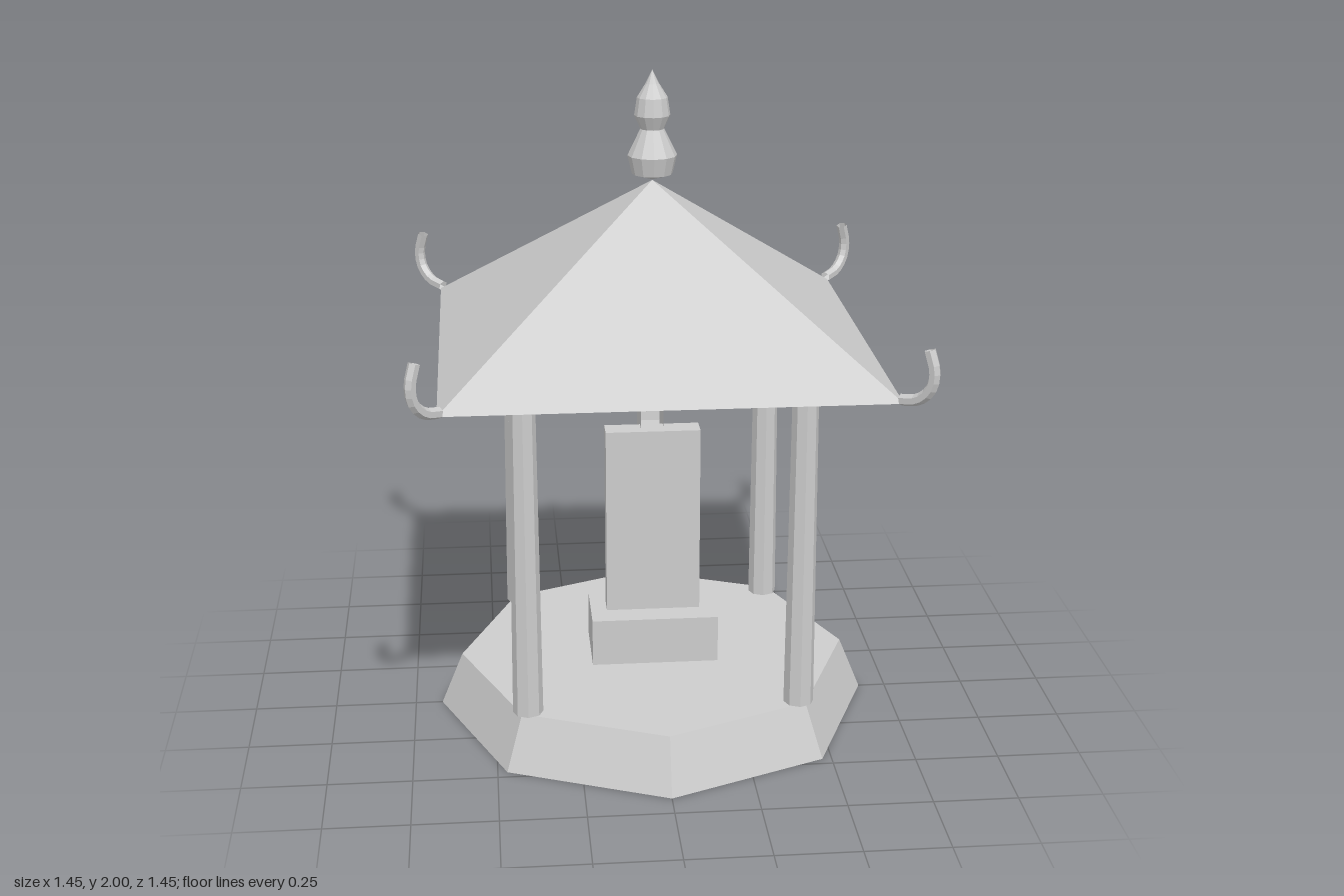
import * as THREE from 'three';

export function createModel() {
  const model = new THREE.Group();
  model.name = 'pavilion';
  const stone = new THREE.MeshStandardMaterial({
    color: 0xcccccc, flatShading: true, side: THREE.DoubleSide,
  });
  stone.name = 'pale stone';

  function add(name, geometry, x = 0, y = 0, z = 0) {
    const mesh = new THREE.Mesh(geometry, stone);
    mesh.name = name;
    mesh.position.set(x, y, z);
    model.add(mesh);
    return mesh;
  }

  // Octagonal platform with sloping sides
  add('platform', new THREE.CylinderGeometry(0.6, 0.667, 0.165, 8), 0, 0.0825, 0);

  // Upright tablet on its plinth
  add('plinth', new THREE.BoxGeometry(0.39, 0.148, 0.23), 0, 0.239, 0);
  add('tablet', new THREE.BoxGeometry(0.29, 0.59, 0.07), 0, 0.607, 0);

  // Half disc behind the tablet, open along its straight edge
  const disc = new THREE.CylinderGeometry(0.145, 0.145, 0.07, 16, 1, false, Math.PI / 2, Math.PI);
  disc.rotateY(Math.PI / 2).rotateZ(Math.PI / 2);
  // Turn the arc so that it bulges towards the back
  disc.computeBoundingBox();
  const box = disc.boundingBox;
  if (box.max.y - box.min.y < 0.2) disc.rotateX(Math.PI / 2);
  disc.computeBoundingBox();
  if (disc.boundingBox.max.z > 0.1) disc.rotateX(Math.PI);
  add('tabletHalfDisc', disc, 0, 0.905, 0);

  // Pyramid roof
  const roof = new THREE.ConeGeometry(0.64 * Math.SQRT2, 0.495, 4);
  roof.rotateY(Math.PI / 4);
  add('roof', roof, 0, 1.4275, 0);

  // One column and one upturned eave horn at each corner
  const profile = [[0.633, 1.19], [0.672, 1.203], [0.699, 1.24], [0.706, 1.29], [0.693, 1.35]];
  const column = new THREE.CylinderGeometry(0.038, 0.045, 1.02, 8);
  for (const sx of [-1, 1]) {
    for (const sz of [-1, 1]) {
      add('column', column, sx * 0.405, 0.675, sz * 0.405);
      const path = new THREE.CatmullRomCurve3(
        profile.map(([r, y]) => new THREE.Vector3(sx * r, y, sz * r)));
      add('eaveHorn', new THREE.TubeGeometry(path, 10, 0.017, 6, false));
    }
  }

  // Gourd-shaped finial
  const gourd = [
    [0, 1.677], [0.06, 1.695], [0.073, 1.75], [0.035, 1.828], [0.053, 1.868],
    [0.045, 1.92], [0.02, 1.96], [0, 2],
  ].map(([r, y]) => new THREE.Vector2(r, y));
  add('finial', new THREE.LatheGeometry(gourd, 12));

  return model;
}
